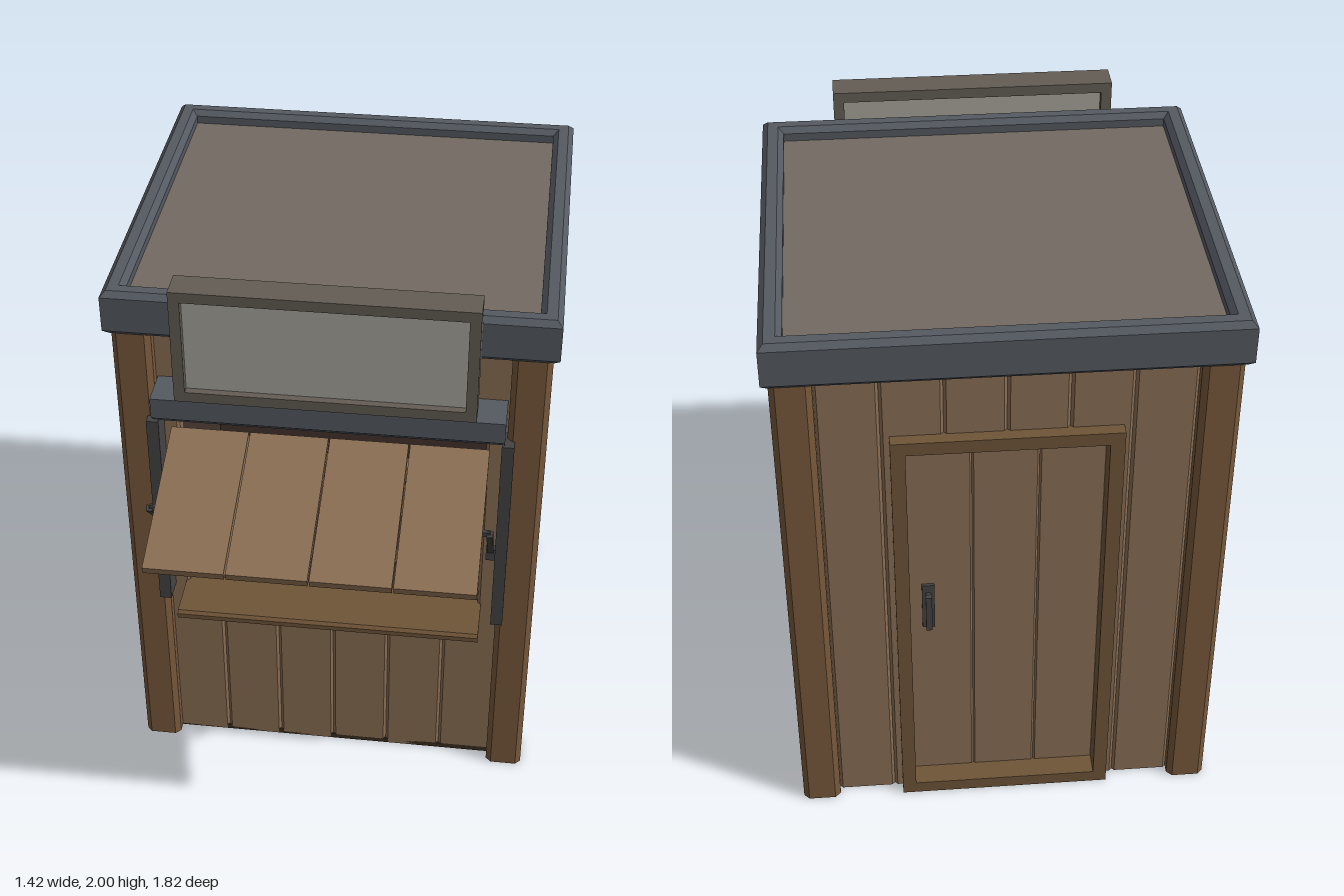
import * as THREE from 'three';

const mat = (color, side = THREE.FrontSide) => new THREE.MeshStandardMaterial({ color, side });
const M = {
  plank: mat(0x8b6e54), post: mat(0x78593b), trim: mat(0x6f5538), dark: mat(0x43332d),
  roof: mat(0x555a62), deck: mat(0x736b62), metal: mat(0x454343), glass: mat(0x35373b),
  sign: mat(0x635d54), panel: mat(0xa8a49c), base: mat(0x3a2c20),
};

function add(parent, name, geo, material, x = 0, y = 0, z = 0) {
  const m = new THREE.Mesh(geo, material);
  m.name = name;
  m.position.set(x, y, z);
  parent.add(m);
  return m;
}

// Box given by its limits on each axis
function box(parent, name, material, x0, x1, y0, y1, z0, z1) {
  return add(parent, name, new THREE.BoxGeometry(x1 - x0, y1 - y0, z1 - z0), material,
    (x0 + x1) / 2, (y0 + y1) / 2, (z0 + z1) / 2);
}

const shapeOf = (pts) => new THREE.Shape(pts.map(([a, b]) => new THREE.Vector2(a, b)));

// Upright prism from a plan of [x, z] points
function upright(pts, h) {
  return new THREE.ExtrudeGeometry(shapeOf(pts.map(([x, z]) => [x, -z])), { depth: h, bevelEnabled: false })
    .rotateX(-Math.PI / 2);
}

// Prism along x, centred, from a side profile of [z, y] points
function across(pts, w) {
  return new THREE.ExtrudeGeometry(shapeOf(pts), { depth: w, bevelEnabled: false })
    .translate(0, 0, -w / 2).rotateY(-Math.PI / 2);
}

// One board with chamfered front edges, its face at z = d
function board(parent, name, material, x0, x1, y0, y1, d, t = 0.05, c = 0.009) {
  if (x1 - x0 < 0.02) return;
  const pts = [[x0, d - t], [x1, d - t], [x1, d - c], [x1 - c, d], [x0 + c, d], [x0, d - c]];
  add(parent, name, upright(pts, y1 - y0), material, 0, y0, 0);
}

// Wall of upright boards around one opening
function plankWall(parent, name, half, d, count, hole) {
  const g = new THREE.Group();
  g.name = name;
  parent.add(g);
  const step = (2 * half) / count, top = 1.78;
  for (let i = 0; i < count; i++) {
    const a = -half + i * step, b = a + step;
    const l = Math.max(a, hole.x0), r = Math.min(b, hole.x1);
    if (l >= r) { board(g, 'wallPlank', M.plank, a, b, 0, top, d); continue; }
    if (hole.y0 > 0) board(g, 'wallPlank', M.plank, a, b, 0, hole.y0, d);
    board(g, 'wallPlank', M.plank, a, b, hole.y1, top, d);
    board(g, 'wallPlank', M.plank, a, l, hole.y0, hole.y1, d);
    board(g, 'wallPlank', M.plank, r, b, hole.y0, hole.y1, d);
  }
  return g;
}

// Rectangular frame with an open middle
function frame(parent, name, material, x0, x1, y0, y1, w, z0, z1) {
  box(parent, name, material, x0, x0 + w, y0, y1, z0, z1);
  box(parent, name, material, x1 - w, x1, y0, y1, z0, z1);
  box(parent, name, material, x0 + w, x1 - w, y1 - w, y1, z0, z1);
  box(parent, name, material, x0 + w, x1 - w, y0, y0 + w, z0, z1);
}

function buildBody(root) {
  const body = new THREE.Group();
  body.name = 'body';
  body.position.z = -0.25;
  root.add(body);
  box(body, 'base', M.base, -0.64, 0.64, 0, 0.02, -0.59, 0.59);

  // Chamfered corner posts
  const w = 0.0625, l = 0.0675, c = 0.018;
  const plan = [[-w, -l + c], [-w + c, -l], [w - c, -l], [w, -l + c], [w, l - c], [w - c, l], [-w + c, l], [-w, l - c]];
  for (const sx of [-1, 1]) for (const sz of [-1, 1]) {
    add(body, 'cornerPost', upright(plan, 1.78), M.post, sx * (0.69 - w), 0, sz * (0.64 - l));
  }

  // Front wall with the serving opening
  plankWall(body, 'frontWall', 0.58, 0.59, 6, { x0: -0.5, x1: 0.5, y0: 0.7, y1: 1.44 });

  // Side walls with windows
  for (const s of [1, -1]) {
    const cx = -s * 0.098, x0 = cx - 0.203, x1 = cx + 0.203;
    const g = plankWall(body, 'sideWall', 0.505, 0.655, 5, { x0: x0 + 0.02, x1: x1 - 0.02, y0: 0.54, y1: 1.5 });
    g.rotation.y = s * Math.PI / 2;
    frame(g, 'windowFrame', M.trim, x0, x1, 0.515, 1.53, 0.048, 0.605, 0.695);
    box(g, 'windowGlass', M.glass, x0 + 0.02, x1 - 0.02, 0.53, 1.51, 0.605, 0.625);
    for (const y of [0.865, 1.172]) box(g, 'windowBar', M.trim, x0 + 0.04, x1 - 0.04, y - 0.016, y + 0.016, 0.61, 0.685);
  }

  // Back wall with the door
  const back = plankWall(body, 'backWall', 0.565, 0.6, 6, { x0: -0.33, x1: 0.33, y0: 0, y1: 1.51 });
  back.rotation.y = Math.PI;
  frame(back, 'doorFrame', M.trim, -0.35, 0.35, 0.0, 1.53, 0.045, 0.54, 0.64);
  for (let i = 0; i < 3; i++) {
    board(back, 'doorPlank', M.plank, -0.31 + i * 0.2067, -0.31 + (i + 1) * 0.2067, 0.03, 1.5, 0.565, 0.03, 0.006);
  }
  box(back, 'handlePlate', M.metal, -0.265, -0.225, 0.72, 0.9, 0.56, 0.575);
  box(back, 'handleGrip', M.metal, -0.255, -0.235, 0.74, 0.88, 0.595, 0.612);
  for (const y of [0.76, 0.86]) box(back, 'handleStud', M.metal, -0.253, -0.237, y - 0.01, y + 0.01, 0.57, 0.6);
}

function buildInterior(root) {
  const g = new THREE.Group();
  g.name = 'interior';
  root.add(g);
  box(g, 'innerFloor', M.dark, -0.57, 0.57, 0.67, 0.7, -0.3, 0.32);
  box(g, 'innerCeiling', M.dark, -0.57, 0.57, 1.5, 1.53, -0.3, 0.29);
  box(g, 'innerBack', M.dark, -0.57, 0.57, 0.7, 1.5, -0.33, -0.3);
  for (const s of [-1, 1]) box(g, 'innerSide', M.dark, s * 0.535 - 0.035, s * 0.535 + 0.035, 0.7, 1.5, -0.3, 0.29);
  box(g, 'backCounter', M.plank, -0.47, 0.47, 0.7, 0.83, -0.3, -0.12);
}

function buildRoof(root) {
  const g = new THREE.Group();
  g.name = 'roof';
  g.position.z = -0.25;
  root.add(g);
  const rect = (x, z) => [[-x, -z], [x, -z], [x, z], [-x, z]];
  const rim = shapeOf(rect(0.71, 0.66));
  rim.holes.push(new THREE.Path(rect(0.64, 0.59).reverse().map(([x, y]) => new THREE.Vector2(x, y))));
  const b = 0.018;
  const geo = new THREE.ExtrudeGeometry(rim, {
    depth: 0.155 - 2 * b, bevelThickness: b, bevelSize: b, bevelOffset: -b, bevelSegments: 1,
  }).rotateX(-Math.PI / 2);
  add(g, 'roofRim', geo, M.roof, 0, 1.76 + b, 0);
  box(g, 'roofDeck', M.deck, -0.65, 0.65, 1.765, 1.87, -0.6, 0.6);
}

function buildServingFront(root) {
  const g = new THREE.Group();
  g.name = 'servingFront';
  root.add(g);

  // Header above the opening
  const header = [[0.3, 1.45], [0.41, 1.45], [0.47, 1.5], [0.47, 1.573], [0.3, 1.573]];
  add(g, 'header', across(header, 1.12), M.roof);

  // Counter shelf and its brackets
  const shelf = [[0.29, 0.688], [0.505, 0.688], [0.505, 0.705], [0.495, 0.715], [0.29, 0.715]];
  add(g, 'counterShelf', across(shelf, 1.025), M.trim);
  for (const s of [-1, 1]) {
    const bracket = [[0.33, 0.69], [0.33, 0.53], [0.345, 0.54], [0.46, 0.675], [0.46, 0.69]];
    add(g, 'shelfBracket', across(bracket, 0.03), M.trim, s * 0.4);
    box(g, 'openingTrim', M.metal, s * 0.57 - 0.02, s * 0.57 + 0.02, 0.7, 1.45, 0.3, 0.423);
  }

  // Raised hatch of four boards with a batten below
  const hatch = new THREE.Group();
  hatch.name = 'hatch';
  hatch.position.set(0, 1.42, 0.4);
  hatch.rotation.x = Math.atan2(0.165, 0.5);
  g.add(hatch);
  for (let i = 0; i < 4; i++) {
    const x = -0.5125 + i * 0.2575;
    box(hatch, 'hatchBoard', M.plank, x, x + 0.2525, -0.028, 0, 0, 0.535);
  }
  for (const z of [0.1, 0.4]) box(hatch, 'hatchBatten', M.trim, -0.48, 0.48, -0.045, -0.027, z - 0.025, z + 0.025);

  // Struts holding the hatch
  const a = new THREE.Vector2(0.335, 0.95), b = new THREE.Vector2(0.675, 1.3);
  for (const s of [-1, 1]) {
    const strut = add(g, 'hatchStrut', new THREE.BoxGeometry(0.02, 0.02, a.distanceTo(b)), M.metal,
      s * 0.535, (a.y + b.y) / 2, (a.x + b.x) / 2);
    strut.rotation.x = -Math.atan2(b.y - a.y, b.x - a.x);
    box(g, 'strutFoot', M.metal, s * 0.535 - 0.016, s * 0.535 + 0.016, 0.935, 0.98, 0.33, 0.365);
    box(g, 'strutPin', M.metal, s * 0.52 - 0.016, s * 0.52 + 0.016, 1.29, 1.306, 0.66, 0.676);
  }
}

function buildSign(root) {
  const g = new THREE.Group();
  g.name = 'signBoard';
  root.add(g);
  frame(g, 'signFrame', M.sign, -0.47, 0.47, 1.605, 2, 0.035, 0.415, 0.515);
  box(g, 'signPanel', M.panel, -0.44, 0.44, 1.635, 1.97, 0.44, 0.49);
  for (const s of [-1, 1]) box(g, 'signMount', M.metal, s * 0.3 - 0.03, s * 0.3 + 0.03, 1.8, 1.87, 0.4, 0.45);
}

export function createModel() {
  const root = new THREE.Group();
  root.name = 'kiosk';
  buildBody(root);
  buildInterior(root);
  buildRoof(root);
  buildServingFront(root);
  buildSign(root);
  return root;
}
